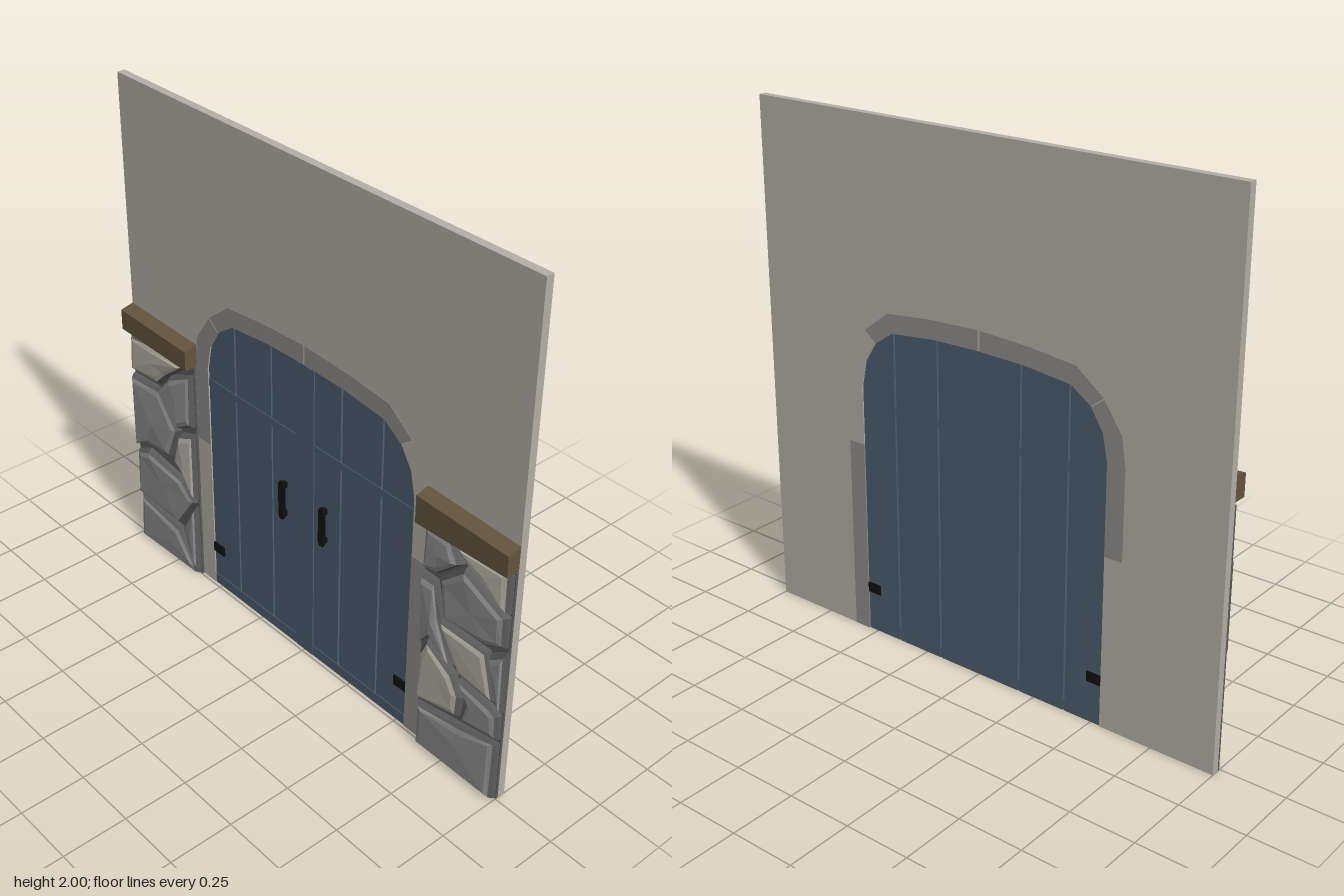
import * as THREE from 'three';

const mat = (name, color) => {
  const m = new THREE.MeshStandardMaterial({ color, flatShading: true });
  m.name = name;
  return m;
};

const BACK = -0.043, FRONT = -0.012;

// Arch points from the left-hand side to the crown; mirrored for the other half
const halfInner = [[-0.54, 1.0], [-0.52, 1.1], [-0.47, 1.18], [-0.39, 1.235], [-0.2, 1.255]];
const halfOuter = [[-0.612, 1.0], [-0.595, 1.11], [-0.52, 1.22], [-0.41, 1.305], [-0.22, 1.325]];
const mirror = (half, crown) => [...half, [0, crown], ...half.map(([x, y]) => [-x, y]).reverse()];
const inner = mirror(halfInner, 1.26);
const outer = mirror(halfOuter, 1.335);

// Stone outlines as x, y pairs
const leftStones = [
  { p: [-1, 0, -0.99, 0.2, -0.72, 0.18, -0.62, 0.03, -0.62, 0] },
  { p: [-0.72, 0.18, -0.617, 0.34, -0.617, 0.03] },
  { p: [-1, 0.21, -1, 0.42, -0.92, 0.46, -0.68, 0.43, -0.617, 0.35, -0.72, 0.195] },
  { p: [-1, 0.44, -1, 0.78, -0.82, 0.79, -0.7, 0.65, -0.755, 0.5, -0.92, 0.475] },
  { p: [-0.82, 0.8, -0.755, 0.88, -0.617, 0.94, -0.617, 0.7, -0.7, 0.655] },
  { p: [-1, 0.8, -1, 0.95, -0.9, 0.975, -0.64, 0.965, -0.75, 0.87, -0.82, 0.8], light: true },
  { p: [-0.7, 0.645, -0.617, 0.675, -0.617, 0.36, -0.675, 0.44, -0.755, 0.49], light: true },
];
const rightStones = [
  { p: [0.617, 0, 0.617, 0.19, 0.825, 0.23, 1, 0.26, 1, 0] },
  { p: [0.617, 0.21, 0.617, 0.43, 0.65, 0.495, 0.79, 0.43, 0.83, 0.34, 0.815, 0.245], light: true },
  { p: [0.8, 0.42, 0.97, 0.405, 1, 0.38, 1, 0.27, 0.83, 0.25, 0.84, 0.34] },
  { p: [0.705, 0.62, 0.93, 0.62, 0.97, 0.42, 0.8, 0.435], light: true },
  { p: [0.617, 0.765, 0.68, 0.765, 0.715, 0.62, 0.775, 0.445, 0.66, 0.505, 0.617, 0.455] },
  { p: [0.69, 0.785, 0.8, 0.89, 1, 0.8, 1, 0.67, 0.93, 0.635, 0.715, 0.635] },
  { p: [0.81, 0.9, 0.76, 0.97, 1, 0.97, 1, 0.81], light: true },
  { p: [0.617, 0.78, 0.617, 0.97, 0.745, 0.97, 0.795, 0.89, 0.685, 0.785] },
  { p: [1, 0.66, 1, 0.39, 0.975, 0.42, 0.935, 0.62] },
];

// Rough stone: rings shrinking toward the centre, with a tilted face
function stoneGeometry(flat, seed) {
  let pts = [];
  for (let i = 0; i < flat.length; i += 2) pts.push(new THREE.Vector2(flat[i], flat[i + 1]));
  if (THREE.ShapeUtils.area(pts) < 0) pts.reverse();
  const c = pts.reduce((a, p) => a.add(p), new THREE.Vector2()).divideScalar(pts.length);
  const n = pts.length;
  const ring = (inset, z, tilt) => pts.map((p, i) => {
    const d = p.distanceTo(c);
    const q = p.clone().lerp(c, Math.min(0.6, inset / d));
    return [q.x, q.y, z + tilt * Math.sin(seed * 2.3 + i * 1.9)];
  });
  const rings = [ring(0, FRONT, 0), ring(0.009, 0.01, 0.002), ring(0.02, 0.021, 0.003), ring(0.04, 0.028, 0.004)];
  const pos = [];
  for (let r = 0; r < 3; r++) {
    for (let i = 0; i < n; i++) {
      const j = (i + 1) % n, a = rings[r][i], b = rings[r][j], d = rings[r + 1][i], e = rings[r + 1][j];
      pos.push(...a, ...b, ...e, ...a, ...e, ...d);
    }
  }
  for (let i = 0; i < n; i++) pos.push(...rings[3][i], ...rings[3][(i + 1) % n], c.x, c.y, 0.031);
  const g = new THREE.BufferGeometry();
  g.setAttribute('position', new THREE.Float32BufferAttribute(pos, 3));
  g.computeVertexNormals();
  g.addGroup(0, n * 12, 0);
  g.addGroup(n * 12, n * 9, 1);
  return g;
}

export function createModel() {
  const model = new THREE.Group();
  model.name = 'archedDoorWall';
  const plaster = mat('plaster', 0xb4afa7);
  const trimGrey = mat('trimGrey', 0x8e8d8b);
  const doorBlue = mat('doorBlue', 0x4d5d70);
  const wood = mat('wood', 0x64543f);
  const iron = mat('iron', 0x101010);
  const stoneGrey = mat('stoneGrey', 0x8d8d8e);
  const stoneLight = mat('stoneLight', 0xb3aea4);
  const joint = mat('stoneJoint', 0x5c5c5d);

  const add = (name, geometry, material, parent = model) => {
    const m = new THREE.Mesh(geometry, material);
    m.name = name;
    parent.add(m);
    return m;
  };
  const group = (name) => {
    const g = new THREE.Group();
    g.name = name;
    model.add(g);
    return g;
  };
  const plate = (pts, z0, z1) => {
    const shape = new THREE.Shape(pts.map(([x, y]) => new THREE.Vector2(x, y)));
    return new THREE.ExtrudeGeometry(shape, { depth: z1 - z0, bevelEnabled: false }).translate(0, 0, z0);
  };
  const box = (x0, x1, y0, y1, z0, z1) =>
    new THREE.BoxGeometry(x1 - x0, y1 - y0, z1 - z0).translate((x0 + x1) / 2, (y0 + y1) / 2, (z0 + z1) / 2);

  // Wall with the arched opening
  add('wall', plate([[-1, 0], [-0.54, 0], ...inner, [0.54, 0], [1, 0], [1, 2], [-1, 2]], BACK, FRONT), plaster);

  // Arch trim in three pieces and a lower jamb, showing on both faces
  const trim = group('archTrim');
  const mix = (a, b, t) => [a[0] + (b[0] - a[0]) * t, a[1] + (b[1] - a[1]) * t];
  const inPath = [[-0.54, 0.66], ...inner.slice(0, 8), mix(inner[8], inner[9], -0.02)];
  const outPath = [[-0.612, 0.66], ...outer.slice(0, 8), outer[8]];
  [[0, 3], [3, 6], [6, 9]].forEach(([i, j]) => {
    const a = inPath.slice(i, j + 1), b = outPath.slice(i, j + 1);
    const last = a.length - 1;
    const t = 0.04;
    if (j < 9) {
      a[last] = mix(a[last], a[last - 1], t);
      b[last] = mix(b[last], b[last - 1], t);
    }
    add('trimSegment', plate([...a, ...b.reverse()], BACK - 0.001, FRONT + 0.0015), trimGrey, trim);
  });
  add('jamb', box(0.54, 0.61, 0, 0.77, BACK - 0.001, FRONT + 0.0015), trimGrey, trim);

  // Door planks, cut to the arch, with narrow gaps between them
  const door = group('door');
  const archY = (x) => {
    const i = Math.max(1, inner.findIndex((p) => p[0] >= x));
    const [a, b] = [inner[i - 1], inner[i]];
    return a[1] + (b[1] - a[1]) * (x - a[0]) / (b[0] - a[0]);
  };
  const edges = [-0.54, -0.384, -0.183, 0.183, 0.384, 0.54];
  for (let i = 0; i < 5; i++) {
    const x0 = edges[i] + (i > 0 ? 0.004 : 0), x1 = edges[i + 1] - (i < 4 ? 0.004 : 0);
    const top = inner.filter(([x]) => x > x0 + 1e-4 && x < x1 - 1e-4);
    add('plank', plate([[x0, 0], [x0, archY(x0)], ...top, [x1, archY(x1)], [x1, 0]], -0.039, -0.017), doorBlue, door);
  }
  // Centre stile and cross rails
  add('centreStile', box(-0.045, 0.045, 0, 1.255, -0.036, -0.0125), doorBlue, door);
  add('middleRail', box(-0.539, 0.539, 0.925, 0.955, -0.036, -0.014), doorBlue, door);
  add('bottomRail', box(-0.539, 0.539, 0, 0.045, -0.036, -0.014), doorBlue, door);

  // Handles on the front; hinges through both faces
  for (const s of [-1, 1]) {
    const handle = group(s < 0 ? 'rightHandle' : 'leftHandle');
    const x = s * 0.108;
    const c = 0.008, w = 0.015;
    const grip = [[-w, 0.58], [-c, 0.565], [c, 0.565], [w, 0.58], [w, 0.715], [c, 0.73], [-c, 0.73], [-w, 0.715]];
    add('grip', plate(grip, -0.002, 0.008).translate(x, 0, 0), iron, handle);
    for (const y of [0.585, 0.71]) add('mount', box(x - 0.008, x + 0.008, y - 0.012, y + 0.012, -0.02, 0), iron, handle);
    add('hinge', box(-0.03, 0.03, 0.16, 0.2, BACK - 0.0005, -0.009).translate(s * 0.51, 0, 0), iron);
  }

  // Stone panels either side of the door
  for (const [name, stones, x0, x1] of [['rightStonework', leftStones, -1, -0.615], ['leftStonework', rightStones, 0.615, 1]]) {
    const g = group(name);
    add('mortar', box(x0, x1, 0, 0.975, FRONT - 0.002, -0.003), joint, g);
    stones.forEach((s, i) => add('stone', stoneGeometry(s.p, i + x1), [joint, s.light ? stoneLight : stoneGrey], g));
  }

  // Timber ledges above the stones, slightly crooked
  const ledge = (name, x0, x1, [b0, t0], [b1, t1]) => {
    const g = box(x0, x1, 0, 1, FRONT, 0.042);
    const p = g.attributes.position;
    for (let i = 0; i < p.count; i++) {
      const k = (p.getX(i) - x0) / (x1 - x0);
      const bottom = b0 + (b1 - b0) * k, top = t0 + (t1 - t0) * k;
      const droop = p.getZ(i) > 0 ? -0.012 : 0;
      p.setY(i, p.getY(i) > 0.5 ? top + droop : bottom);
    }
    g.computeVertexNormals();
    add(name, g, wood);
  };
  ledge('rightLedge', -1, -0.607, [0.985, 1.08], [0.975, 1.068]);
  ledge('leftLedge', 0.6, 1, [0.967, 1.087], [0.98, 1.075]);

  return model;
}
